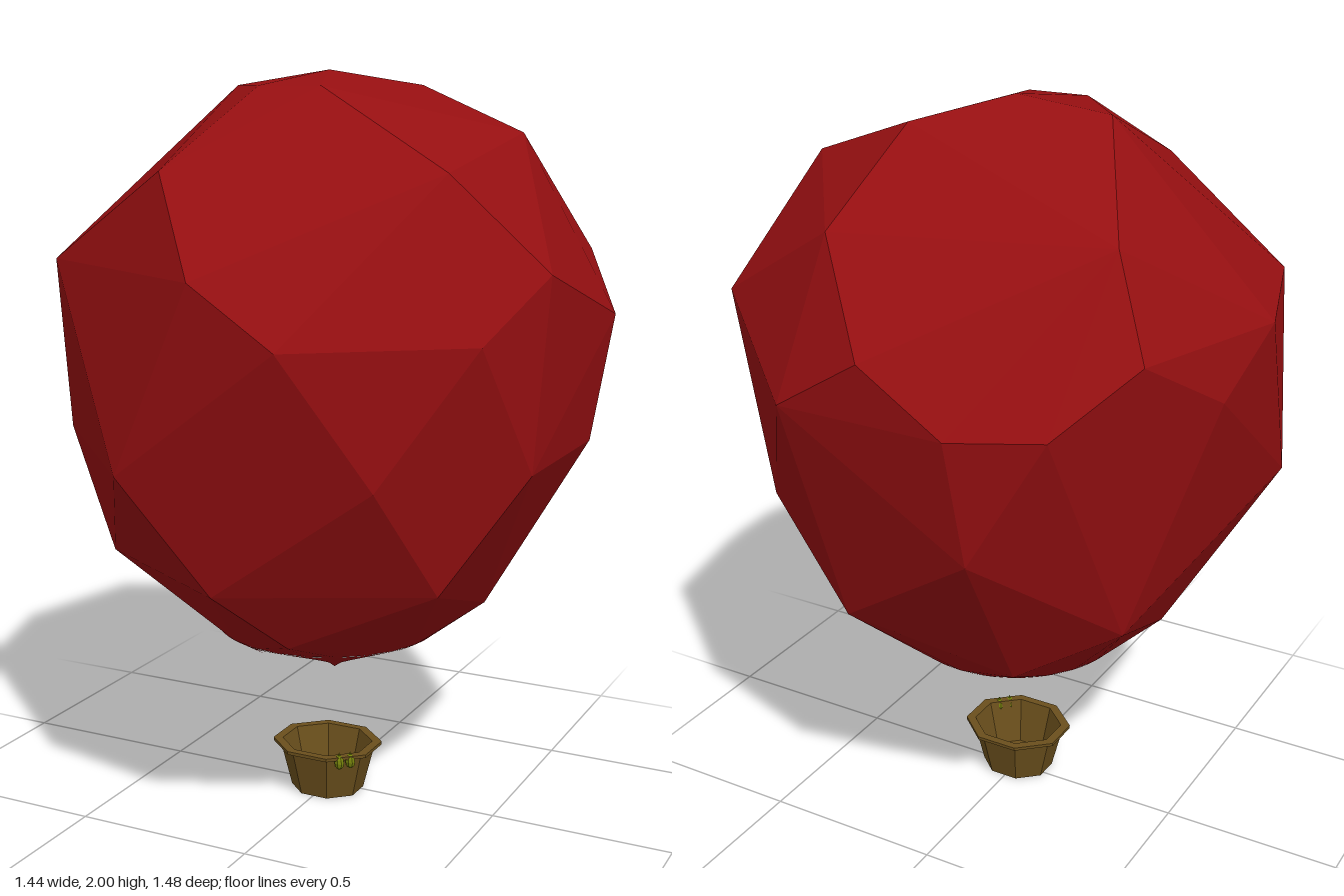
import * as THREE from 'three';
import { ConvexGeometry } from 'three/addons/geometries/ConvexGeometry.js';

const paint = (color, open = false) => new THREE.MeshStandardMaterial({
  color, flatShading: true, side: open ? THREE.DoubleSide : THREE.FrontSide,
});
const RED = 0x960f11, BROWN = 0x6a4f1c, DARK = 0x3c3c40, GREEN = 0x75810c;

function add(parent, name, geometry, material, x = 0, y = 0, z = 0) {
  const mesh = new THREE.Mesh(geometry, material);
  mesh.name = name;
  mesh.position.set(x, y, z);
  parent.add(mesh);
  return mesh;
}

// Uneven cloth panels: the corners on each level, as height and [x, z]
const LEVELS = [
  [2.0, [[0, 0]]],
  [1.96, [[-0.24, 0.06], [-0.08, 0.24], [0.09, 0.23], [0.16, -0.25]]],
  [1.84, [[0.48, -0.17]]],
  [1.76, [[0.48, 0.34], [-0.18, 0.56], [0.19, -0.57], [-0.47, -0.36]]],
  [1.52, [[0.7, 0.22], [0, 0.74], [-0.58, 0.43], [-0.72, 0], [-0.58, -0.44], [0, -0.74], [0.59, -0.44]]],
  [1.37, [[0.72, -0.25], [0.61, 0.44], [0.22, 0.73], [-0.68, -0.2], [-0.43, -0.62], [-0.22, -0.73], [0.24, -0.73]]],
  [1.03, [[0.67, 0.24], [0.67, -0.22], [0.4, 0.58], [-0.24, 0.7], [-0.68, 0.24], [-0.24, -0.67], [0.4, -0.55]]],
  [0.73, [[-0.47, 0.36], [-0.02, 0.62], [0.48, 0.37], [0.19, -0.55], [-0.48, -0.3]]],
  [0.56, [[0.41, -0.14], [0.1, 0.44], [-0.41, 0.1], [-0.2, -0.37]]],
];
const MOUTH = { y: 0.49, r: 0.31, sides: 24 };

function envelopeGeometry() {
  const points = LEVELS.flatMap(([y, list]) => list.map(([x, z]) => new THREE.Vector3(x, y, z)));
  for (let i = 0; i < MOUTH.sides; i++) {
    const a = (i / MOUTH.sides) * Math.PI * 2;
    points.push(new THREE.Vector3(Math.sin(a) * MOUTH.r, MOUTH.y, Math.cos(a) * MOUTH.r));
  }
  // Leave the flat disc across the mouth open
  const hull = new ConvexGeometry(points).getAttribute('position').array;
  const kept = [];
  for (let i = 0; i < hull.length; i += 9) {
    if (Math.max(hull[i + 1], hull[i + 4], hull[i + 7]) > MOUTH.y + 0.01) kept.push(...hull.slice(i, i + 9));
  }
  const geometry = new THREE.BufferGeometry();
  geometry.setAttribute('position', new THREE.Float32BufferAttribute(kept, 3));
  geometry.computeVertexNormals();
  return geometry;
}

// Band below the mouth, cut into six arches with points between them
function scallopGeometry() {
  const steps = MOUTH.sides * 4, positions = [], index = [];
  for (let i = 0; i <= steps; i++) {
    const a = (i / steps) * Math.PI * 2;
    const drop = 0.04 + 0.96 * (1 - Math.sqrt(Math.abs(Math.cos(3 * a))));
    const low = MOUTH.r - 0.1 * drop;
    const s = Math.sin(a), c = Math.cos(a);
    positions.push(s * MOUTH.r, MOUTH.y, c * MOUTH.r, s * low, MOUTH.y - 0.06 * drop, c * low);
    if (i < steps) {
      const k = i * 2;
      index.push(k, k + 1, k + 2, k + 1, k + 3, k + 2);
    }
  }
  const geometry = new THREE.BufferGeometry();
  geometry.setAttribute('position', new THREE.Float32BufferAttribute(positions, 3));
  geometry.setIndex(index);
  geometry.computeVertexNormals();
  return geometry;
}

export function createModel() {
  const model = new THREE.Group();
  model.name = 'hotAirBalloon';

  const cloth = paint(RED, true);
  add(model, 'envelope', envelopeGeometry(), cloth);
  add(model, 'scallopedMouth', scallopGeometry(), cloth);

  // Burner floating in the mouth
  add(model, 'burner', new THREE.CylinderGeometry(0.041, 0.032, 0.055, 7), paint(DARK), 0.008, 0.427, 0.015);

  // Basket: floor, flared outer wall, flat lip and inner wall in one profile
  const profile = [[0, 0], [0.1, 0], [0.132, 0.13], [0.151, 0.13], [0.151, 0.139], [0.125, 0.139], [0.093, 0.012], [0, 0.012]]
    .map(([r, y]) => new THREE.Vector2(r, y));
  const basket = add(model, 'basket', new THREE.LatheGeometry(profile, 8, Math.PI / 8), paint(BROWN, true), 0.003, 0, 0.018);
  basket.scale.set(1.04, 1, 0.93);

  // Two small pods hung side by side over the front corner of the rim
  const pods = new THREE.Group();
  pods.name = 'rimPods';
  pods.position.set(0.098, 0.122, 0.103);
  pods.rotation.y = Math.PI / 4;
  const green = paint(GREEN);
  for (const side of [-1, 1]) {
    add(pods, 'pod', new THREE.SphereGeometry(0.015, 8, 6), green, side * 0.016, 0, 0).scale.set(0.9, 1.35, 1.3);
    add(pods, 'podTip', new THREE.ConeGeometry(0.005, 0.014, 5), green, side * 0.016, 0.022, 0);
  }
  model.add(pods);
  return model;
}
